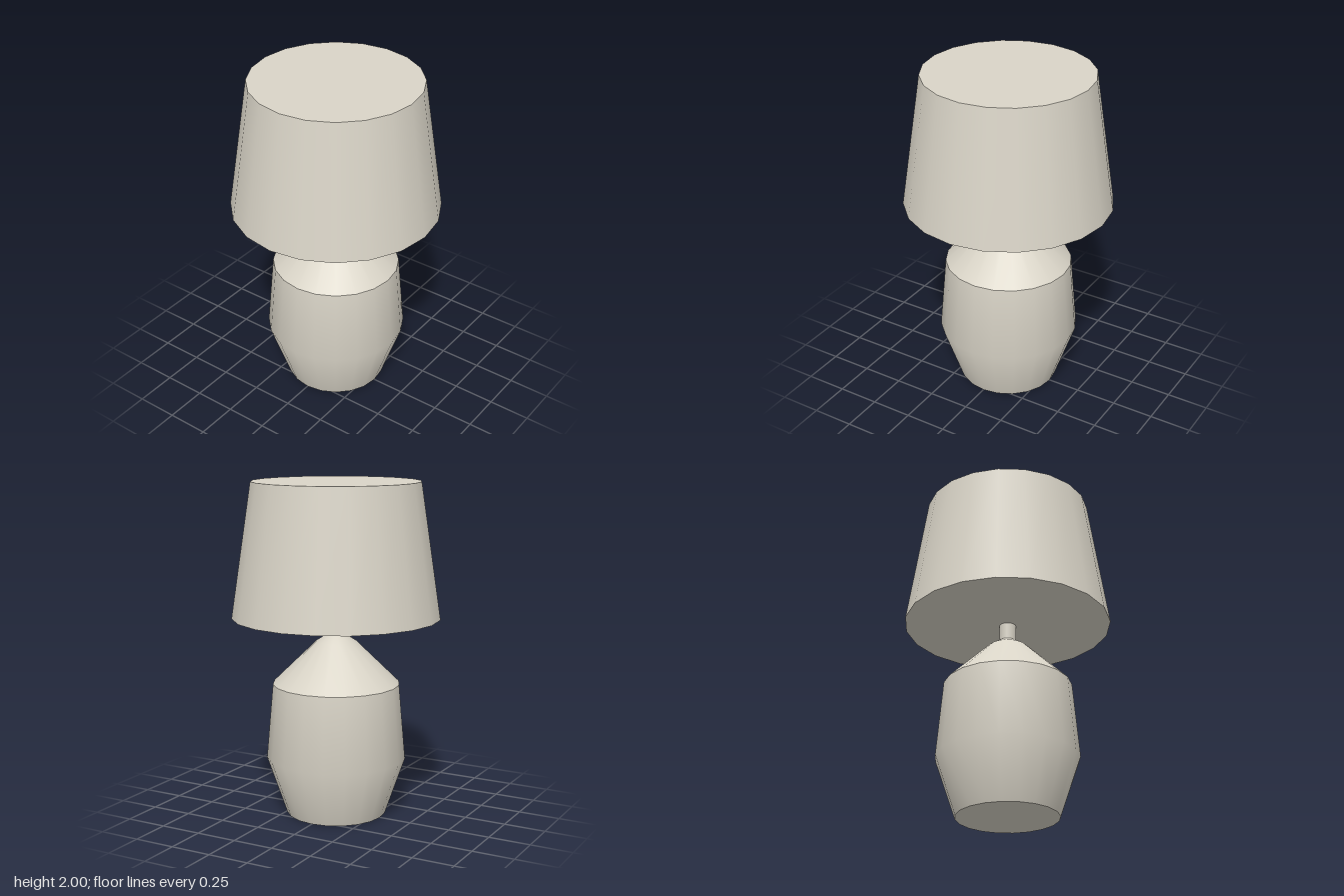
import * as THREE from 'three';

const SIDES = 20;

export function createModel() {
  const model = new THREE.Group();
  model.name = 'tableLamp';

  const linen = new THREE.MeshStandardMaterial({ color: 0xd9d4c7 });
  linen.name = 'warm linen';

  // One smooth turned section; profile runs bottom to top as [radius, height]
  function turned(name, profile, parent) {
    const points = profile.map(([r, y]) => new THREE.Vector2(r, y));
    const mesh = new THREE.Mesh(new THREE.LatheGeometry(points, SIDES), linen);
    mesh.name = name;
    parent.add(mesh);
  }

  // Base: separate sections keep the foot and shoulder edges sharp
  const base = new THREE.Group();
  base.name = 'base';
  turned('foot', [[0, 0], [0.3, 0]], base);
  turned('body', [[0.3, 0], [0.42, 0.35], [0.38, 0.8]], base);
  turned('shoulder', [[0.38, 0.8], [0.12, 1.055], [0.05, 1.1]], base);
  turned('neck', [[0.05, 1.1], [0.05, 1.2]], base);
  model.add(base);

  // Closed tapered shade
  const shade = new THREE.Mesh(new THREE.CylinderGeometry(0.5, 0.62, 0.8, SIDES), linen);
  shade.name = 'shade';
  shade.position.y = 1.6;
  model.add(shade);

  return model;
}
